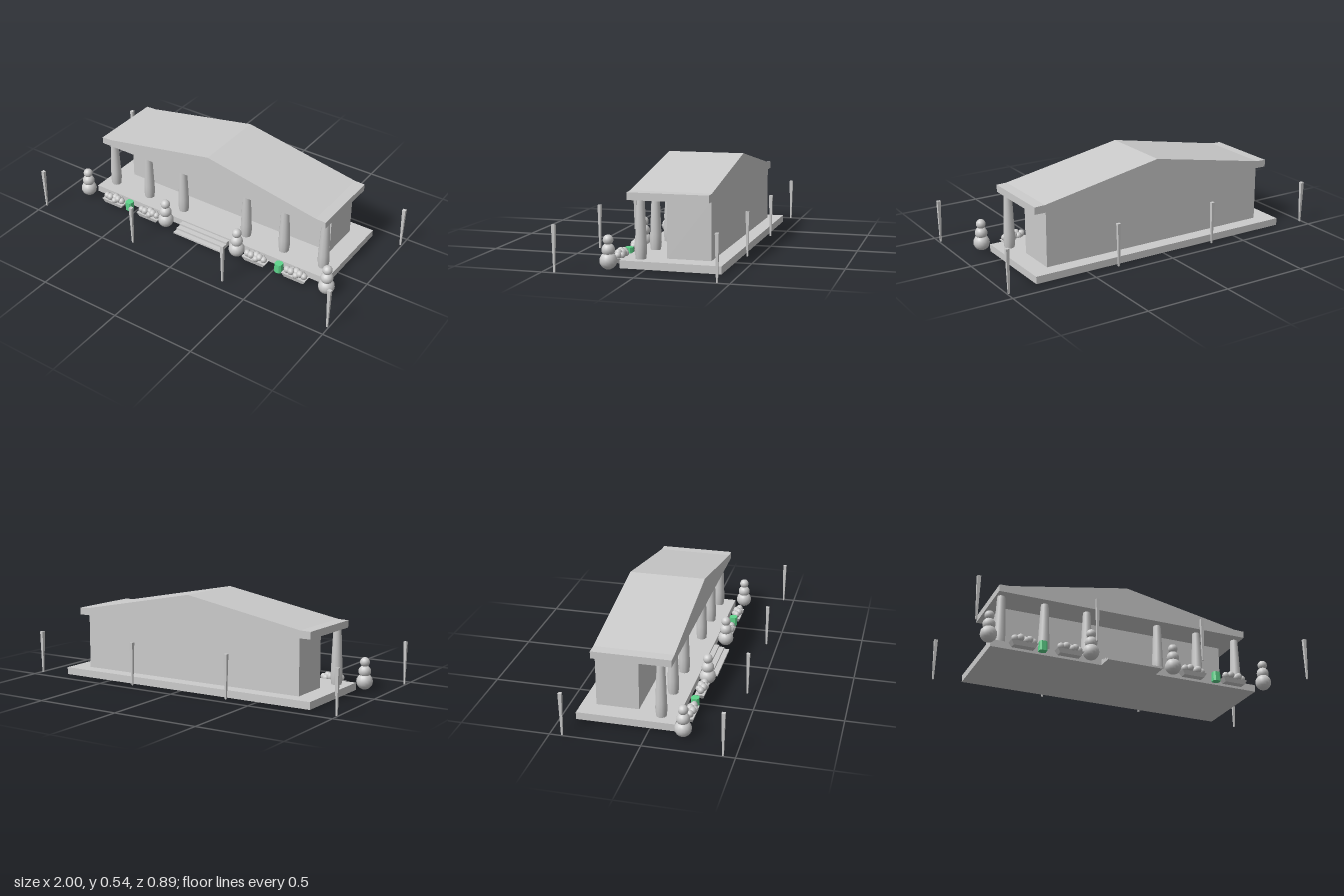
import * as THREE from 'three';

const grey = new THREE.MeshStandardMaterial({ color: 0xcccccc });
const greyFlat = new THREE.MeshStandardMaterial({ color: 0xcccccc, flatShading: true });
const green = new THREE.MeshStandardMaterial({ color: 0x5fd68c, flatShading: true });

function add(parent, name, geometry, material = greyFlat, x = 0, y = 0, z = 0) {
  const mesh = new THREE.Mesh(geometry, material);
  mesh.name = name;
  mesh.position.set(x, y, z);
  parent.add(mesh);
  return mesh;
}

// Box given by its min/max extents
function block(parent, name, x0, x1, y0, y1, z0, z1) {
  return add(parent, name, new THREE.BoxGeometry(x1 - x0, y1 - y0, z1 - z0), greyFlat,
    (x0 + x1) / 2, (y0 + y1) / 2, (z0 + z1) / 2);
}

// Box standing on y = 0 whose foot is scaled down
function taperedBox(w, h, d, footX, footZ) {
  const g = new THREE.BoxGeometry(w, h, d).translate(0, h / 2, 0);
  const p = g.attributes.position;
  for (let i = 0; i < p.count; i++) {
    if (p.getY(i) < h / 2) p.setXYZ(i, p.getX(i) * footX, 0, p.getZ(i) * footZ);
  }
  g.computeVertexNormals();
  return g;
}

function topiary(parent, x) {
  const g = new THREE.Group();
  g.name = 'topiary';
  g.position.set(x, 0, 0.19);
  for (const [r, y] of [[0.047, 0.047], [0.036, 0.104], [0.028, 0.157]]) {
    add(g, 'topiaryBall', new THREE.SphereGeometry(r, 16, 10), grey, 0, y, 0);
  }
  parent.add(g);
}

function flowerBed(parent, x) {
  const g = new THREE.Group();
  g.name = 'flowerBed';
  g.position.set(x, 0.004, 0.187);
  add(g, 'tray', taperedBox(0.155, 0.026, 0.055, 0.8, 0.75));
  // Rounded bushes crowded along the tray
  const bushes = [
    [-0.052, 0.045, 0.004, 0.021], [-0.025, 0.04, -0.013, 0.02], [-0.022, 0.05, 0.012, 0.022],
    [0.004, 0.046, -0.006, 0.024], [0.012, 0.038, 0.017, 0.019], [0.032, 0.05, 0.006, 0.022],
    [0.036, 0.038, -0.014, 0.019], [0.056, 0.041, 0.002, 0.02],
  ];
  for (const [bx, by, bz, r] of bushes) {
    add(g, 'bush', new THREE.SphereGeometry(r, 10, 7), grey, bx, by, bz);
  }
  parent.add(g);
}

export function createModel() {
  const model = new THREE.Group();
  model.name = 'porticoHall';
  const hall = new THREE.Group();
  hall.name = 'hall';
  hall.position.x = -0.004;
  model.add(hall);

  // Platform and enclosed hall at the back
  block(hall, 'platform', -0.82, 0.82, 0.003, 0.045, -0.412, 0.138);
  block(hall, 'walls', -0.71, 0.71, 0.045, 0.362, -0.33, -0.088);

  // Gabled roof with short flat eaves
  const gable = new THREE.Shape([
    [-0.777, 0.359], [0.777, 0.359], [0.777, 0.4], [0.715, 0.402],
    [0, 0.536], [-0.715, 0.402], [-0.777, 0.4],
  ].map(([x, y]) => new THREE.Vector2(x, y)));
  add(hall, 'roof', new THREE.ExtrudeGeometry(gable, { depth: 0.445, bevelEnabled: false }),
    greyFlat, 0, 0, -0.333);

  // Front steps
  for (let i = 0; i < 3; i++) {
    block(hall, 'step', -0.168, 0.168, 0.003, 0.036 - i * 0.011, 0.13, 0.168 + i * 0.031);
  }

  // Tapered columns
  const profile = [[0.029, 0.045], [0.034, 0.085], [0.0325, 0.13], [0.024, 0.335], [0.022, 0.36]]
    .map(([r, y]) => new THREE.Vector2(r, y));
  const columnGeometry = new THREE.LatheGeometry(profile, 10);
  for (const side of [-1, 1]) {
    for (const x of [0.225, 0.484, 0.744]) {
      add(hall, 'column', columnGeometry, grey, side * x, 0, 0.045);
    }
    // Planting along the front
    for (const x of [0.254, 0.848]) topiary(hall, side * x);
    for (const x of [0.381, 0.647]) flowerBed(hall, side * x);

    // Green bin with chamfered corners
    const bin = new THREE.Shape([
      [-0.022, -0.013], [-0.013, -0.022], [0.013, -0.022], [0.022, -0.013],
      [0.022, 0.013], [0.013, 0.022], [-0.013, 0.022], [-0.022, 0.013],
    ].map(([x, y]) => new THREE.Vector2(x, y)));
    const binGeometry = new THREE.ExtrudeGeometry(bin, { depth: 0.056, bevelEnabled: false });
    binGeometry.rotateX(-Math.PI / 2);
    add(hall, 'greenBin', binGeometry, green, side * 0.535, 0.004, 0.182);
  }

  // Boundary posts, narrowing toward the ground
  const postGeometry = taperedBox(0.02, 0.25, 0.02, 0.45, 0.45);
  for (const x of [-0.99, -0.32, 0.315, 0.99]) {
    for (const z of [-0.433, 0.433]) add(model, 'boundaryPost', postGeometry, greyFlat, x, 0, z);
  }
  return model;
}
